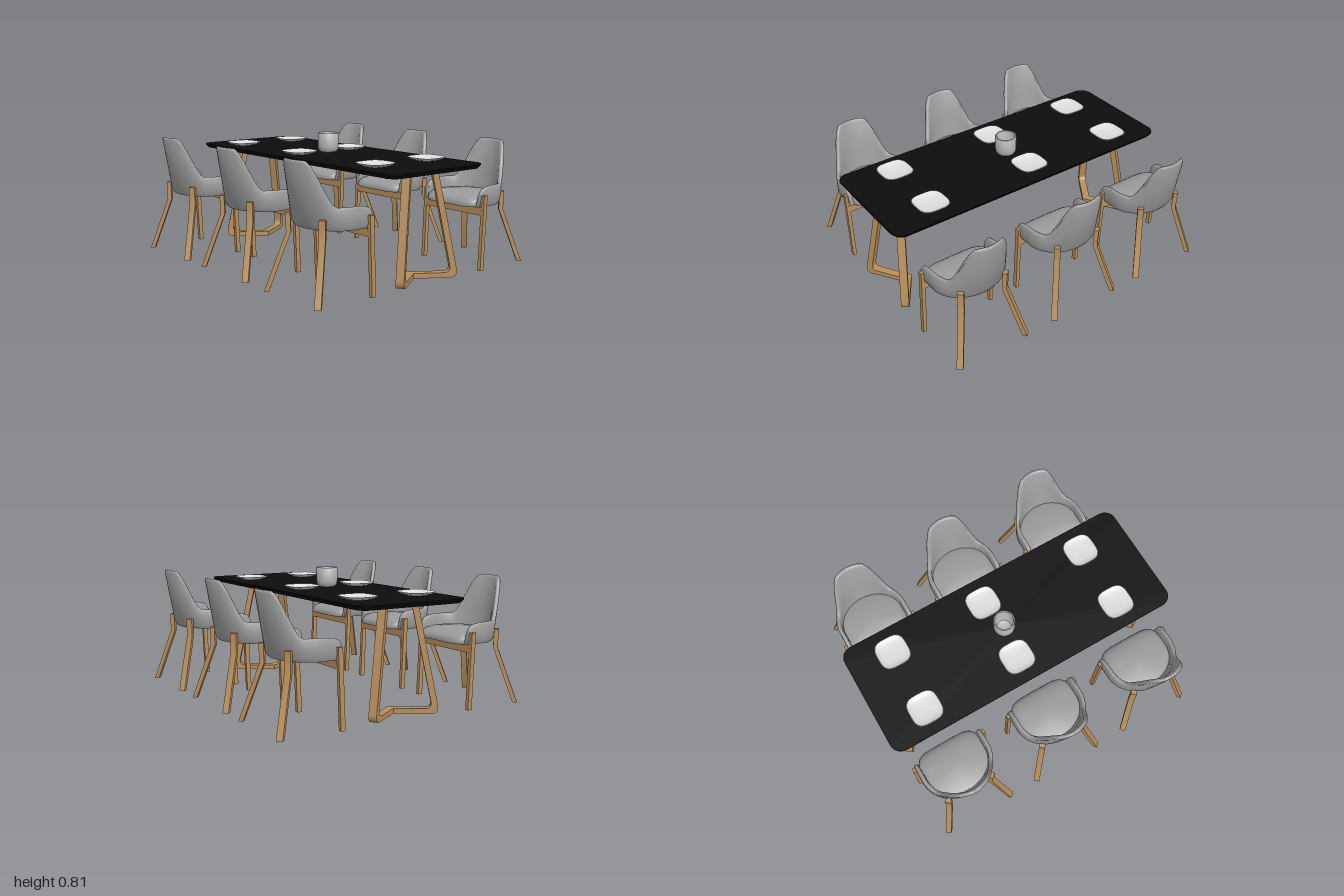
import * as THREE from 'three';
import { toCreasedNormals } from 'three/addons/utils/BufferGeometryUtils.js';

const material = (name, color) => {
  const m = new THREE.MeshStandardMaterial({ color });
  m.name = name;
  return m;
};

// Skin through closed rings of [x, y, z]; each ring runs x -> z as the rings climb.
function loft(rings, crease = 0.6) {
  const n = rings[0].length, index = [];
  for (let i = 0; i < rings.length - 1; i++) {
    for (let j = 0; j < n; j++) {
      const a = i * n + j, b = i * n + (j + 1) % n;
      index.push(a, a + n, b, b, a + n, b + n);
    }
  }
  const geo = new THREE.BufferGeometry();
  geo.setAttribute('position', new THREE.Float32BufferAttribute(rings.flat(2), 3));
  geo.setIndex(index);
  return toCreasedNormals(geo, crease);
}

// Ring collapsed to its own centre, used to close an end
const collapse = (ring) => {
  const c = [0, 1, 2].map((k) => ring.reduce((sum, p) => sum + p[k], 0) / ring.length);
  return ring.map(() => c);
};
const capped = (rings, crease) =>
  loft([collapse(rings[0]), ...rings, collapse(rings[rings.length - 1])], crease);

// Rectangular bar through centre points, cut level at each point
function bar(points, w, d, angle = 0) {
  const c = Math.cos(angle), s = Math.sin(angle);
  return capped(points.map(([x, y, z]) =>
    [[1, 1], [-1, 1], [-1, -1], [1, -1]].map(([i, j]) => {
      const u = i * w / 2, v = j * d / 2;
      return [x + u * c - v * s, y, z + u * s + v * c];
    })));
}

const signedPow = (v, p) => Math.sign(v) * Math.abs(v) ** p;

// Padded shell that wraps the seat: low arms sweeping up to a tall back
function shellGeometry() {
  const stations = [[0.44, 0.445], [0.447, 0.485], [0.465, 0.508], [0.5, 0.519], [0.53, 0.523]]
    .map(([x, h]) => ({ x, a: 0, h }));
  const arc = [];
  for (let deg = 0; deg <= 180; deg += 6) {
    const h = 0.525 + 0.255 * THREE.MathUtils.smoothstep(Math.min(deg, 180 - deg), 30, 68);
    arc.push({ x: 0.56, a: deg * Math.PI / 180, h });
  }
  const far = stations.map((s) => ({ ...s, a: Math.PI })).reverse();
  const rings = [...stations, ...arc, ...far].map(({ x, a, h }) => {
    const at = (y, inset) => [
      x + (0.2 + 0.2 * (y - 0.395) - inset) * Math.sin(a), y, (0.237 - inset) * Math.cos(a)];
    const lerp = (t) => 0.42 + (h - 0.435) * t;
    return [
      at(0.395, 0.012), at(0.42, 0), at(lerp(0.5), 0), at(lerp(1), 0.001),
      at(h - 0.004, 0.006), at(h, 0.014), at(h - 0.004, 0.023),
      at(lerp(1), 0.028), at(lerp(0.5), 0.03), at(0.42, 0.032), at(0.395, 0.032)];
  });
  return capped(rings, 0.9);
}

// Seat cushion: round at the back, squarer with a falling front edge
function cushionGeometry() {
  const profile = [[0.395, 0, 0], [0.395, 0.98, 0.98], [0.405, 1, 1], [0.43, 0.93, 1],
    [0.447, 0.78, 0.97], [0.462, 0.5, 0.8], [0.467, 0, 0]];
  return loft(profile.map(([y, front, rest]) => Array.from({ length: 48 }, (_, i) => {
    const t = i / 48 * Math.PI * 2, c = Math.cos(t), s = Math.sin(t);
    return c >= 0
      ? [0.56 + 0.19 * c * rest, y, 0.21 * s * rest]
      : [0.56 - 0.172 * (-c) ** 0.4 * front, y, 0.21 * signedPow(s, 0.4) * rest];
  })), 0.8);
}

// Square plate with soft corners and a raised rim
function plateGeometry() {
  const profile = [[0, 0], [0, 0.55], [0.01, 0.85], [0.021, 1], [0.023, 0.97],
    [0.013, 0.78], [0.009, 0.62], [0.009, 0]];
  return loft(profile.map(([y, k]) => Array.from({ length: 40 }, (_, i) => {
    const t = i / 40 * Math.PI * 2;
    return [0.102 * k * signedPow(Math.cos(t), 0.6), y, 0.102 * k * signedPow(Math.sin(t), 0.6)];
  })), 0.7);
}

function roundedRect(hx, hz, r, y) {
  const ring = [];
  [[1, 1], [-1, 1], [-1, -1], [1, -1]].forEach(([sx, sz], q) => {
    for (let i = 0; i <= 8; i++) {
      const t = (q + i / 8) * Math.PI / 2;
      ring.push([sx * (hx - r) + r * Math.cos(t), y, sz * (hz - r) + r * Math.sin(t)]);
    }
  });
  return ring;
}

// Half of a bent table leg frame, mitred where it meets its twin
function halfFrameGeometry(angle) {
  const s = new THREE.Shape();
  s.moveTo(0, 0);
  s.lineTo(0.235, 0);
  s.quadraticCurveTo(0.288, 0, 0.279, 0.055);
  s.lineTo(0.152, 0.665);
  s.lineTo(0.114, 0.665);
  s.lineTo(0.237, 0.075);
  s.quadraticCurveTo(0.245, 0.032, 0.2, 0.032);
  s.lineTo(0, 0.032);
  const geo = new THREE.ExtrudeGeometry(s, { depth: 0.05, bevelEnabled: false, curveSegments: 8 });
  geo.translate(0, 0, -0.025);
  const p = geo.attributes.position;
  for (let i = 0; i < p.count; i++) {
    if (Math.abs(p.getX(i)) < 1e-6) p.setX(i, p.getZ(i) * Math.tan(angle));
  }
  return toCreasedNormals(geo, 0.5);
}

export function createModel() {
  const fabric = material('grey fabric', 0x9c9c9c);
  const wood = material('light wood', 0xb98f5c);
  const black = material('black table top', 0x0c0c0c);
  const china = material('white china', 0xdedede);
  const pottery = material('grey pottery', 0xb4b4b4);

  const root = new THREE.Group();
  root.name = 'diningSet';
  const add = (parent, name, geo, mat) => {
    const mesh = new THREE.Mesh(geo, mat);
    mesh.name = name;
    parent.add(mesh);
    return mesh;
  };

  // Table
  const table = new THREE.Group();
  table.name = 'table';
  table.position.x = -0.0075;
  root.add(table);
  add(table, 'tableTop', capped([
    roundedRect(0.36, 0.98, 0.06, 0.66), roundedRect(0.378, 1, 0.075, 0.681),
    roundedRect(0.378, 1, 0.075, 0.688)], 0.4), black);
  const theta = Math.atan2(0.155, 0.235);
  for (const turn of [0, Math.PI]) {
    const frame = new THREE.Group();
    frame.name = turn ? 'backLegFrame' : 'frontLegFrame';
    frame.rotation.y = turn;
    table.add(frame);
    for (const angle of [theta, Math.PI - theta]) {
      const half = add(frame, 'legFrameHalf', halfFrameGeometry(angle), wood);
      half.rotation.y = -angle;
      half.position.z = 0.755;
    }
  }

  // Tableware
  const plate = plateGeometry();
  for (const x of [-0.22, 0.2]) {
    for (const z of [-0.71, -0.06, 0.67]) {
      add(root, 'plate', plate, china).position.set(x, 0.688, z);
    }
  }
  const vaseProfile = [[0, 0], [0.04, 0], [0.056, 0.006], [0.065, 0.02], [0.068, 0.04], [0.068, 0.124],
    [0.066, 0.127], [0.058, 0.127], [0.056, 0.122], [0.056, 0.04], [0.045, 0.018], [0.03, 0.012], [0, 0.012]]
    .map(([r, y]) => new THREE.Vector2(r, y));
  add(root, 'vase', toCreasedNormals(new THREE.LatheGeometry(vaseProfile, 40), 0.7), pottery)
    .position.set(-0.0075, 0.688, -0.027);

  // Chairs, three along each side, facing the table
  const shell = shellGeometry(), cushion = cushionGeometry();
  const rail = new THREE.BoxGeometry(0.025, 0.05, 0.48).translate(0.463, 0.37, 0);
  const legs = [1, -1].map((side) => ({
    front: bar([[0.45, 0, side * 0.243], [0.469, 0.47, side * 0.243]], 0.029, 0.024),
    back: bar([[0.832, 0, side * 0.235], [0.735, 0.345, side * 0.152],
      [0.737, 0.46, side * 0.155]], 0.028, 0.038, side * 0.72),
  }));
  for (const turn of [0, Math.PI]) {
    for (const z of [-0.7, -0.023, 0.667]) {
      const chair = new THREE.Group();
      chair.name = turn ? 'rightChair' : 'leftChair';
      chair.rotation.y = turn;
      chair.position.z = z;
      root.add(chair);
      add(chair, 'backrestShell', shell, fabric);
      add(chair, 'seatCushion', cushion, fabric);
      add(chair, 'frontRail', rail, wood);
      for (const leg of legs) {
        add(chair, 'frontLeg', leg.front, wood);
        add(chair, 'backLeg', leg.back, wood);
      }
    }
  }
  return root;
}
